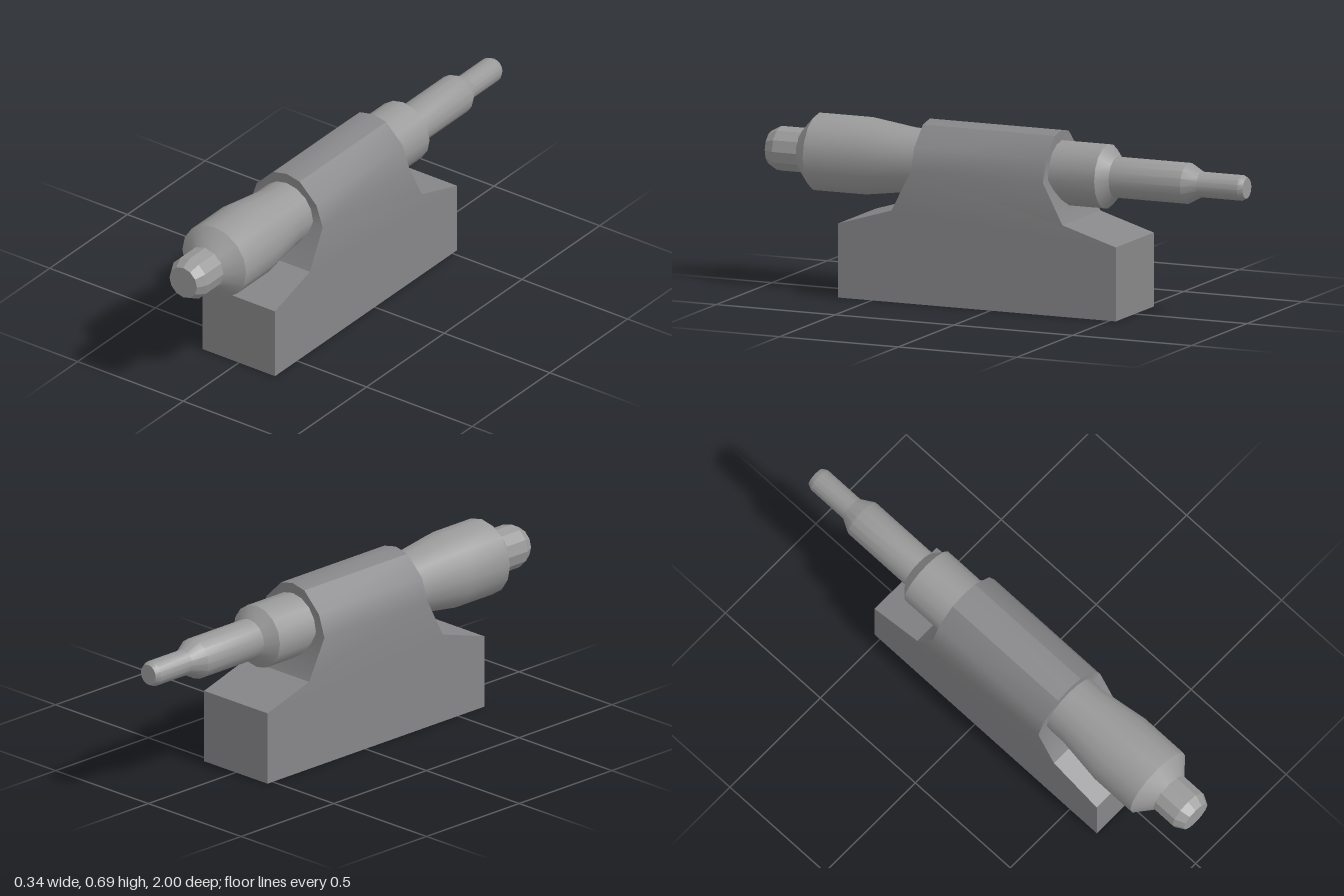
import * as THREE from 'three';
import { mergeGeometries, toCreasedNormals } from 'three/addons/utils/BufferGeometryUtils.js';

const AXIS_Y = 0.525;

export function createModel() {
  const group = new THREE.Group();
  const baseMaterial = new THREE.MeshStandardMaterial({ color: 0x878789 });
  const spindleMaterial = new THREE.MeshStandardMaterial({ color: 0x9a9a9a });

  const add = (name, geometry, material, y = 0) => {
    const mesh = new THREE.Mesh(geometry, material);
    mesh.name = name;
    mesh.position.y = y;
    group.add(mesh);
  };

  const extrude = (outline, depth) => new THREE.ExtrudeGeometry(
    new THREE.Shape(outline.map(([x, y]) => new THREE.Vector2(x, y))),
    { depth, bevelEnabled: false });

  // Turned part along z; profile is [radius, z] from back to front
  const turned = (name, profile, sides, crease) => {
    const points = profile.map(([r, z]) => new THREE.Vector2(r, z));
    const geometry = new THREE.LatheGeometry(points, sides).rotateX(Math.PI / 2);
    add(name, toCreasedNormals(geometry, crease), spindleMaterial, AXIS_Y);
  };

  // Foot: side outline extruded across the width
  const foot = extrude([[-0.642, 0], [0.528, 0], [0.528, 0.287], [0.303, 0.355],
    [0.221, 0.513], [-0.335, 0.513], [-0.417, 0.355], [-0.642, 0.287]], 0.342);
  foot.translate(0, 0, -0.171).rotateY(Math.PI / 2);

  // Arch over the barrel, blended smoothly into the walls of the foot
  const arch = extrude([[-0.171, 0.513], [0.171, 0.513], [0.141, 0.6], [0.062, 0.677],
    [0, 0.69], [-0.062, 0.677], [-0.141, 0.6]], 0.556);
  arch.translate(0, 0, -0.221);
  add('clampBase', toCreasedNormals(mergeGeometries([foot, arch]), 0.52), baseMaterial);

  // Barrel with flared front and a rear collar tapering to the rod
  turned('barrel', [[0.08, -0.455], [0.125, -0.415], [0.125, 0.41],
    [0.151, 0.6], [0.151, 0.8], [0.085, 0.86], [0, 0.86]], 16, 0.5);

  // Stepped rod at the back
  turned('rearRod', [[0, -1], [0.04, -1], [0.05, -0.98], [0.05, -0.81],
    [0.08, -0.755], [0.08, -0.44]], 16, 0.5);

  // Faceted knob at the front
  turned('frontKnob', [[0.087, 0.84], [0.087, 0.96], [0.065, 1], [0, 1]], 12, 0.3);

  return group;
}
